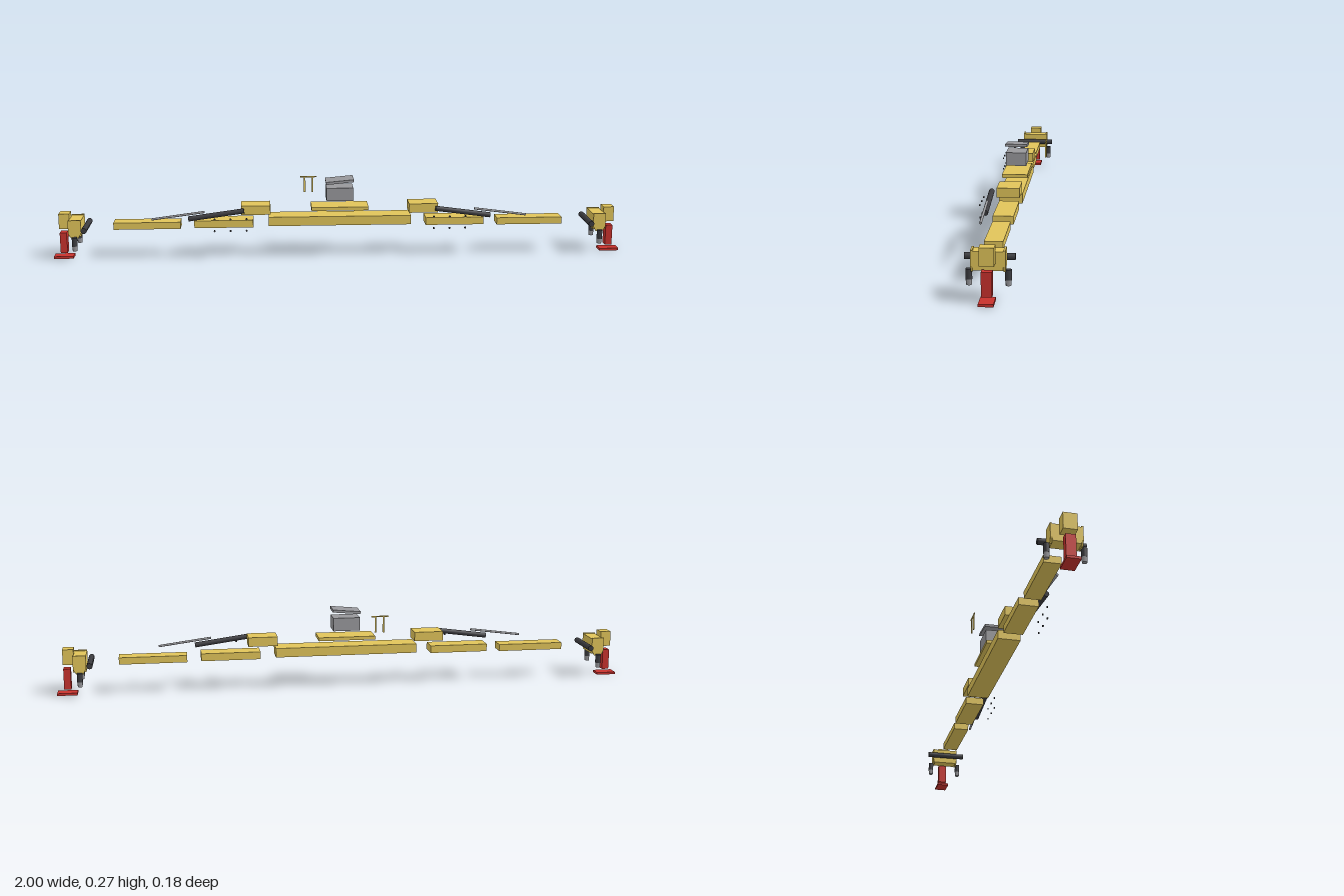
import * as THREE from 'three';

const mat = (color, flatShading = false) => new THREE.MeshStandardMaterial({ color, flatShading });
const yellow = mat(0xe0c45a), dark = mat(0x3c3c40), grey = mat(0x98989c), red = mat(0xc8322d);
const CZ = 0.007; // centre line of the frame

export function createModel() {
  const model = new THREE.Group();
  model.name = 'spreaderFrame';

  const add = (name, geometry, material, x, y, z) => {
    const mesh = new THREE.Mesh(geometry, material);
    mesh.name = name;
    mesh.position.set(x, y, z);
    model.add(mesh);
    return mesh;
  };
  // Box given by its x and y ranges, and half its depth
  const box = (name, material, x0, x1, y0, y1, halfZ, z = CZ) =>
    add(name, new THREE.BoxGeometry(Math.abs(x1 - x0), y1 - y0, halfZ * 2), material, (x0 + x1) / 2, (y0 + y1) / 2, z);
  // Cylinder between two points in a plane of constant z
  const rod = (name, material, radius, x0, y0, x1, y1, z) => {
    const length = Math.hypot(x1 - x0, y1 - y0);
    const mesh = add(name, new THREE.CylinderGeometry(radius, radius, length, 16), material, (x0 + x1) / 2, (y0 + y1) / 2, z);
    mesh.rotation.z = Math.atan2(y1 - y0, x1 - x0) - Math.PI / 2;
    return mesh;
  };

  // Centre: beam, platform, housing and tilted lid
  box('mainBeam', yellow, -0.25, 0.25, 0.112, 0.144, 0.039);
  box('platform', yellow, -0.1, 0.1, 0.166, 0.178, 0.044);
  box('powerUnit', grey, -0.047, 0.047, 0.198, 0.244, 0.0355);
  box('powerUnitLid', grey, -0.049, 0.049, 0.261, 0.27, 0.0385).rotation.z = 0.09;

  // Guard rail behind the platform
  box('railTop', yellow, -0.136, -0.077, 0.256, 0.26, 0.002, -0.088);
  for (const x of [-0.12, -0.092]) box('railPost', yellow, x - 0.003, x + 0.003, 0.202, 0.256, 0.002, -0.088);

  // Tapered plate closing each end of the crossbeam
  const plate = new THREE.Shape([
    [-0.022, 0.064], [0.022, 0.064], [0.022, 0.018], [0.012, 0], [-0.012, 0], [-0.022, 0.018],
  ].map(([x, y]) => new THREE.Vector2(x, y)));
  const plateGeometry = new THREE.ExtrudeGeometry(plate, { depth: 0.006, bevelEnabled: false });

  for (const s of [-1, 1]) {
    // Telescopic arms and the block above them
    box('innerArm', yellow, s * 0.303, s * 0.508, 0.107, 0.133, 0.033);
    box('outerArm', yellow, s * 0.556, s * 0.788, 0.104, 0.128, 0.028);
    box('armHousing', yellow, s * 0.243, s * 0.345, 0.153, 0.185, 0.0375);

    // Hydraulic ram
    rod('ramBarrel', dark, 0.009, s * 0.526, 0.146, s * 0.334, 0.172, 0.061);
    rod('ramRod', grey, 0.004, s * 0.652, 0.146, s * 0.47, 0.17, 0.061);

    // Bolts
    for (const x of [0.325, 0.38, 0.435]) for (const y of [0.108, 0.149]) {
      add('bolt', new THREE.CylinderGeometry(0.0035, 0.0035, 0.004, 8), dark, s * x, y, 0.088).rotation.x = Math.PI / 2;
    }

    // Crossbeam with its bar and the red leg
    box('crossbeam', yellow, s * 0.897, s * 0.941, 0.086, 0.141, 0.043);
    box('legBracket', yellow, s * 0.939, s * 0.976, 0.108, 0.161, 0.0215);
    box('leg', red, s * 0.952, s * 0.976, 0.02, 0.092, 0.0155);
    box('footPlate', red, s * 0.932, s, 0, 0.008, 0.0215);
    add('crossBar', new THREE.CylinderGeometry(0.01, 0.01, 0.145, 16), dark, s * 0.884, 0.112, CZ).rotation.x = Math.PI / 2;

    // Locking pins at the crossbeam ends
    for (const side of [-1, 1]) {
      add('endPlate', plateGeometry, yellow, s * 0.919, 0.08, CZ + side * 0.046 - 0.003);
      const z = CZ + side * 0.0555;
      add('lockPin', new THREE.CylinderGeometry(0.0095, 0.0095, 0.03, 16), dark, s * 0.919, 0.07, z);
      add('lockHead', new THREE.CylinderGeometry(0.0095, 0.008, 0.018, 8), grey, s * 0.919, 0.047, z);
    }
  }
  return model;
}
